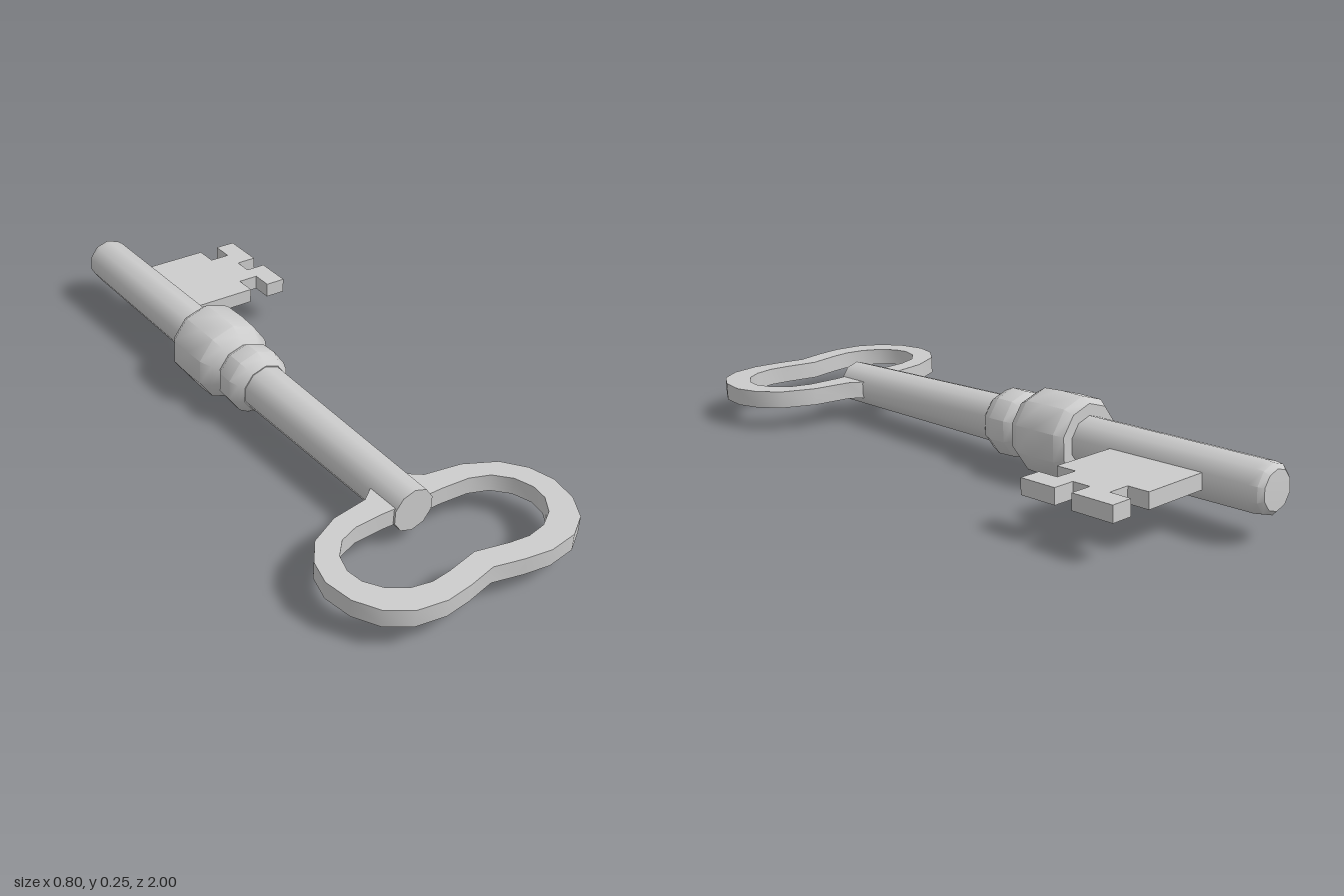
import * as THREE from 'three';
import { toCreasedNormals } from 'three/addons/utils/BufferGeometryUtils.js';

const vecs = (pts) => pts.map(([x, y]) => new THREE.Vector2(x, y));

export function createModel() {
  const material = new THREE.MeshStandardMaterial({ color: 0xcccccc });
  const key = new THREE.Group();
  key.name = 'key';

  const add = (name, geometry) => {
    const mesh = new THREE.Mesh(toCreasedNormals(geometry, 0.68), material);
    mesh.name = name;
    key.add(mesh);
  };

  // Flat plate drawn in (x, z), centred on the shaft axis
  const plate = (outline, thickness, hole) => {
    const shape = new THREE.Shape(vecs(outline));
    if (hole) shape.holes.push(new THREE.Path(vecs(hole)));
    return new THREE.ExtrudeGeometry(shape, { depth: thickness, bevelEnabled: false })
      .translate(0, 0, -thickness / 2)
      .rotateX(Math.PI / 2);
  };

  // Mirror half an outline across x = 0
  const mirrored = (half) => [
    ...half,
    ...half.filter(([x]) => x > 0).reverse().map(([x, z]) => [-x, z]),
  ];

  // Ten-sided turned part, profile given as (radius, z)
  const turned = (profile) =>
    new THREE.LatheGeometry(vecs(profile), 10).rotateX(Math.PI / 2);

  // Shaft with rounded tip and plain handle end
  add('shaft', turned([
    [0, -1], [0.055, -0.998], [0.068, -0.985], [0.072, -0.96],
    [0.074, -0.36], [0.073, -0.03], [0.065, 0.66], [0, 0.66],
  ]));

  // Two collars around the shaft
  add('largeCollar', turned([
    [0.06, -0.375], [0.108, -0.375], [0.125, -0.35], [0.127, -0.27],
    [0.124, -0.205], [0.104, -0.17], [0.082, -0.15], [0.06, -0.15],
  ]));
  add('smallCollar', turned([
    [0.06, -0.155], [0.084, -0.153], [0.1, -0.13], [0.102, -0.075],
    [0.09, -0.045], [0.076, -0.03], [0.06, -0.03],
  ]));

  // Looped handle
  const outer = mirrored([
    [0, 0.55], [0.06, 0.55], [0.1, 0.58], [0.215, 0.598], [0.31, 0.645],
    [0.36, 0.71], [0.38, 0.785], [0.366, 0.87], [0.325, 0.94],
    [0.26, 0.983], [0.17, 0.997], [0.09, 0.986], [0, 0.965],
  ]);
  const inner = mirrored([
    [0, 0.655], [0.1, 0.653], [0.19, 0.658], [0.25, 0.68], [0.292, 0.725],
    [0.31, 0.78], [0.303, 0.83], [0.27, 0.88], [0.22, 0.912],
    [0.16, 0.924], [0.1, 0.917], [0, 0.895],
  ]);
  add('bow', plate(outer, 0.052, inner));

  // Notched bit
  add('bit', plate([
    [0.03, -0.82], [0.271, -0.82], [0.271, -0.752], [0.336, -0.752],
    [0.336, -0.82], [0.401, -0.82], [0.401, -0.687], [0.336, -0.687],
    [0.336, -0.63], [0.401, -0.63], [0.401, -0.512], [0.336, -0.512],
    [0.336, -0.577], [0.271, -0.577], [0.271, -0.512], [0.03, -0.512],
  ], 0.046));

  // The key rests at a slight tilt
  key.rotation.set(0.0253, -0.009, -0.01);
  key.position.set(-0.011, 0.1215, 0);

  const model = new THREE.Group();
  model.name = 'model';
  model.add(key);
  return model;
}
